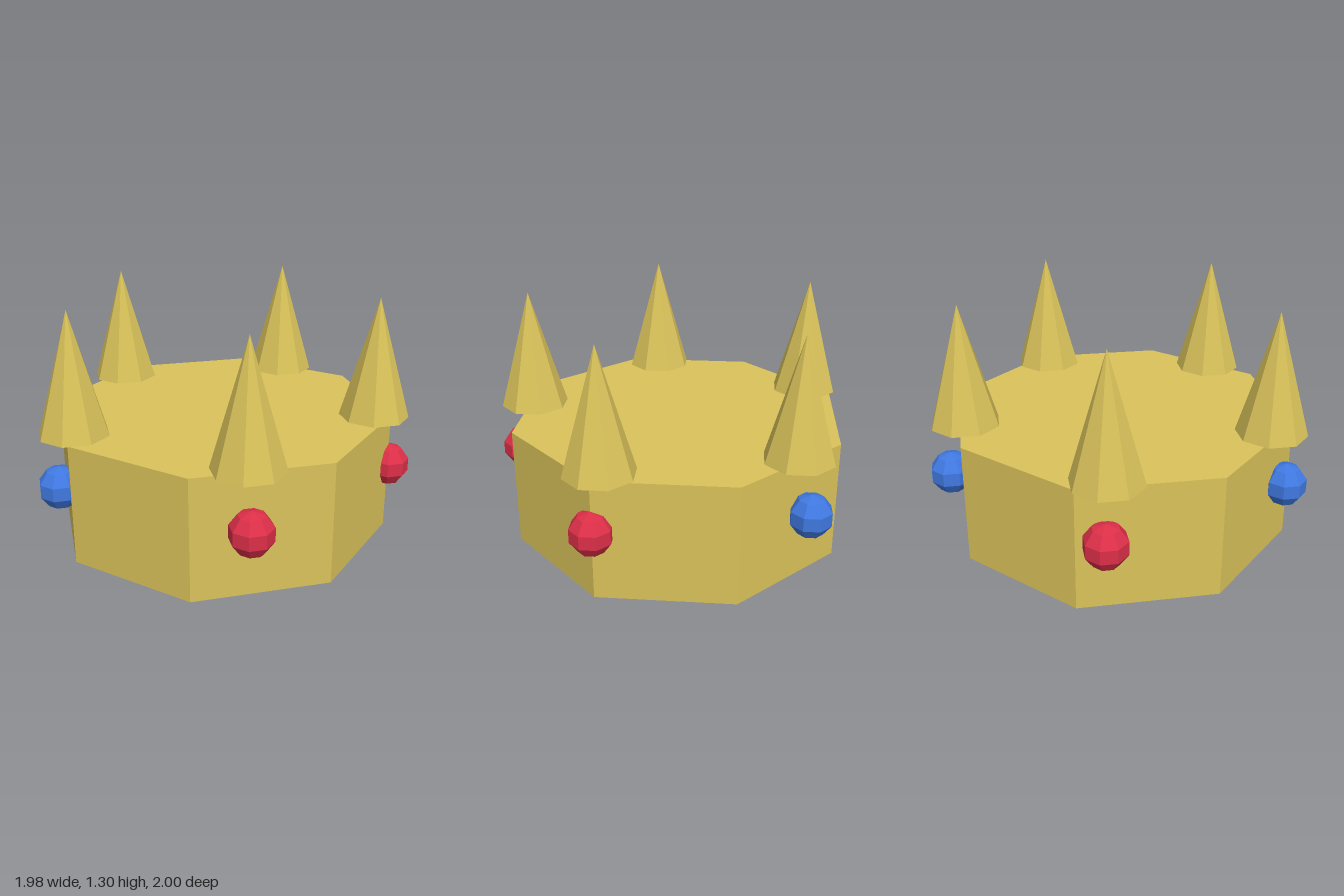
import * as THREE from 'three';

const BAND_RADIUS = 0.935, BAND_HEIGHT = 0.655, CENTRE_X = -0.055;
const SPIKE_COUNT = 5;

const paint = (color) => new THREE.MeshStandardMaterial({ color, flatShading: true });

export function createModel() {
  const crown = new THREE.Group();
  crown.name = 'crown';
  const gold = paint(0xd9c25a);
  const gemColours = [
    { name: 'redGem', material: paint(0xdc2f48) },
    { name: 'blueGem', material: paint(0x4078e0) },
  ];

  function add(name, geometry, material, x, y, z) {
    const mesh = new THREE.Mesh(geometry, material);
    mesh.name = name;
    mesh.position.set(x, y, z);
    crown.add(mesh);
  }

  // Solid eight-sided band
  add('band', new THREE.CylinderGeometry(BAND_RADIUS, BAND_RADIUS, BAND_HEIGHT, 8), gold,
    CENTRE_X, BAND_HEIGHT / 2, 0);

  // Five spikes around the rim, each with a gem below it on the band
  const spikeHeight = 0.65;
  const spike = new THREE.ConeGeometry(0.187, spikeHeight, 8);
  const gem = new THREE.SphereGeometry(0.117, 8, 5);
  for (let i = 0; i < SPIKE_COUNT; i++) {
    const angle = (-i / SPIKE_COUNT) * Math.PI * 2;
    const dx = Math.cos(angle), dz = Math.sin(angle);
    const spikeRing = BAND_RADIUS * 0.9;
    add('spike', spike, gold,
      CENTRE_X + dx * spikeRing, BAND_HEIGHT + spikeHeight / 2, dz * spikeRing);
    const { name, material } = gemColours[i % 2];
    add(name, gem, material, CENTRE_X + dx * BAND_RADIUS, 0.376, dz * BAND_RADIUS);
  }
  return crown;
}
